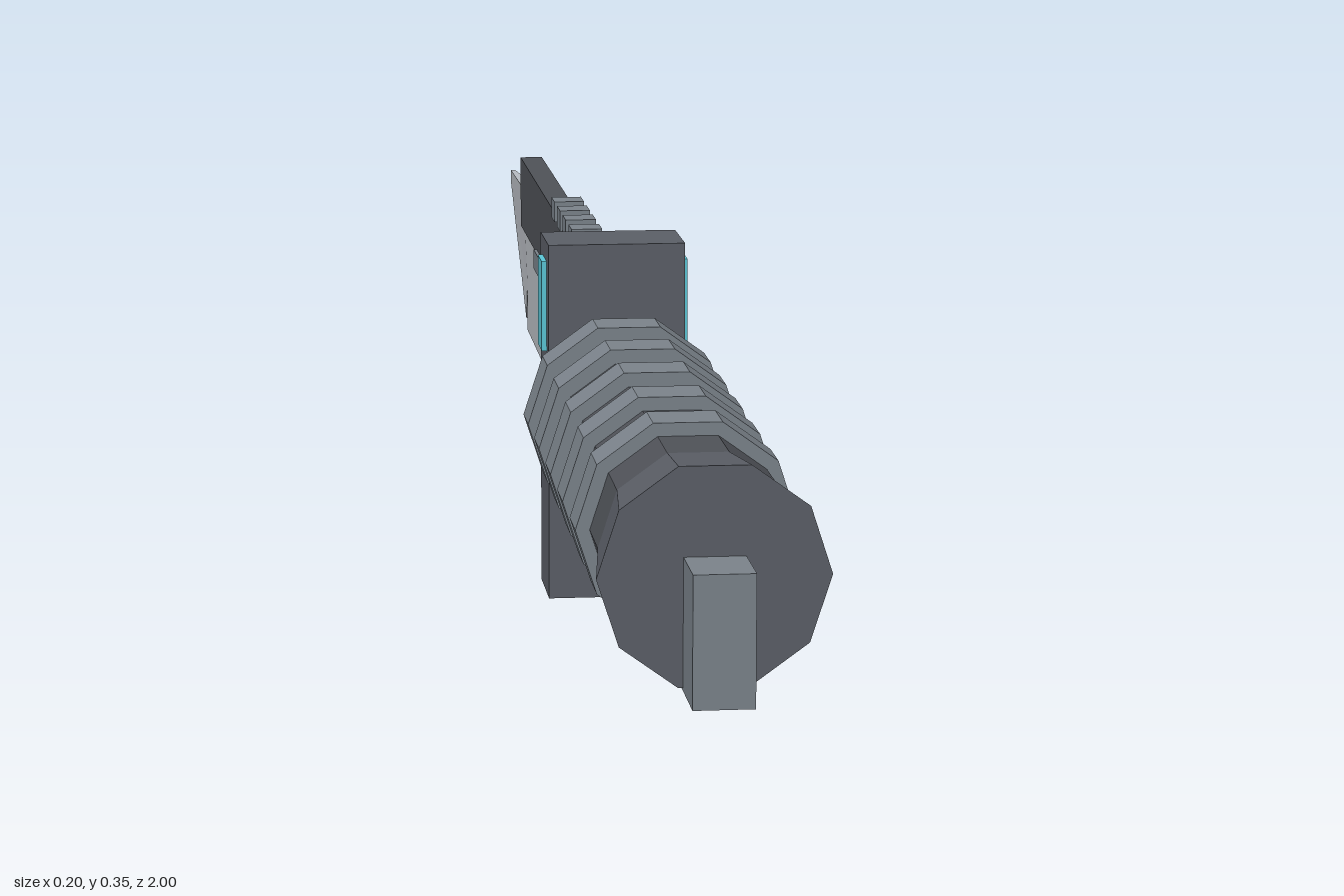
import * as THREE from 'three';

const mat = (name, color) => {
  const m = new THREE.MeshStandardMaterial({ color });
  m.name = name;
  return m;
};

export function createModel() {
  const steel = mat('bladeSteel', 0xbcc0c6);
  const dark = mat('darkGrip', 0x505359);
  const gunmetal = mat('gunmetal', 0x5c6068);
  const grey = mat('lightGrey', 0x7c848c);
  const cyan = mat('cyanInlay', 0x5cc8d8);

  const knife = new THREE.Group();
  knife.name = 'combatKnife';

  const add = (name, geometry, material) => {
    const mesh = new THREE.Mesh(geometry, material);
    mesh.name = name;
    knife.add(mesh);
    return mesh;
  };
  // Box given by its half width and its y and z ranges
  const box = (name, material, hx, y0, y1, z0, z1, x = 0) =>
    add(name, new THREE.BoxGeometry(hx * 2, y1 - y0, z1 - z0), material)
      .position.set(x, (y0 + y1) / 2, (z0 + z1) / 2);
  // Flat-faced ten-sided drum along z, corners at the sides
  const drum = (name, material, rBack, rFront, z0, z1) => {
    const g = new THREE.CylinderGeometry(rFront, rBack, z1 - z0, 10)
      .rotateY(Math.PI / 2).rotateX(Math.PI / 2).toNonIndexed();
    g.computeVertexNormals();
    add(name, g, material).position.set(0, 0.198, (z0 + z1) / 2);
  };

  // Grip with raised rings and flared pommel
  drum('grip', dark, 0.082, 0.085, 0.18, 0.825);
  for (let i = 0; i < 5; i++) {
    const z = 0.274 + i * 0.114;
    drum('gripRing', grey, 0.097, 0.097, z - 0.025, z + 0.025);
  }
  drum('pommel', gunmetal, 0.085, 0.098, 0.825, 0.937);
  box('pommelStud', grey, 0.026, 0.102, 0.215, 0.92, 1.0);

  // Guard with a thin inlay on each side
  box('guard', gunmetal, 0.067, 0, 0.353, 0.107, 0.19);
  for (const s of [-1, 1]) box('guardInlay', cyan, 0.003, 0.245, 0.334, 0.13, 0.17, s * 0.069);

  // Blade outline as (-z, y), thinning towards the tip
  const outline = [[-0.12, 0.095], [0.7, 0.107], [0.7, 0.162], [0.716, 0.118],
    [1, 0.24], [1, 0.253], [0.75, 0.267], [-0.12, 0.267]];
  const half = 0.009;
  const blade = new THREE.ExtrudeGeometry(
    new THREE.Shape(outline.map(([u, v]) => new THREE.Vector2(u, v))),
    { depth: half * 2, bevelEnabled: false }
  ).translate(0, 0, -half).rotateY(Math.PI / 2);
  const p = blade.attributes.position;
  for (let i = 0; i < p.count; i++) {
    const t = Math.max(0, (-p.getZ(i) - 0.75) / 0.25);
    p.setX(i, p.getX(i) * (1 - 0.7 * t));
  }
  blade.computeVertexNormals();
  add('blade', blade, steel);

  // Spine, side rail and teeth along the back
  box('spine', dark, 0.0125, 0.224, 0.305, -0.747, 0.12);
  box('sideRail', grey, 0.016, 0.207, 0.229, -0.54, 0.037);
  for (let i = 0; i < 6; i++) {
    const z = 0.01 - i * 0.063;
    box('spineTooth', grey, 0.016, 0.3, 0.322, z - 0.017, z + 0.017);
  }
  return knife;
}
